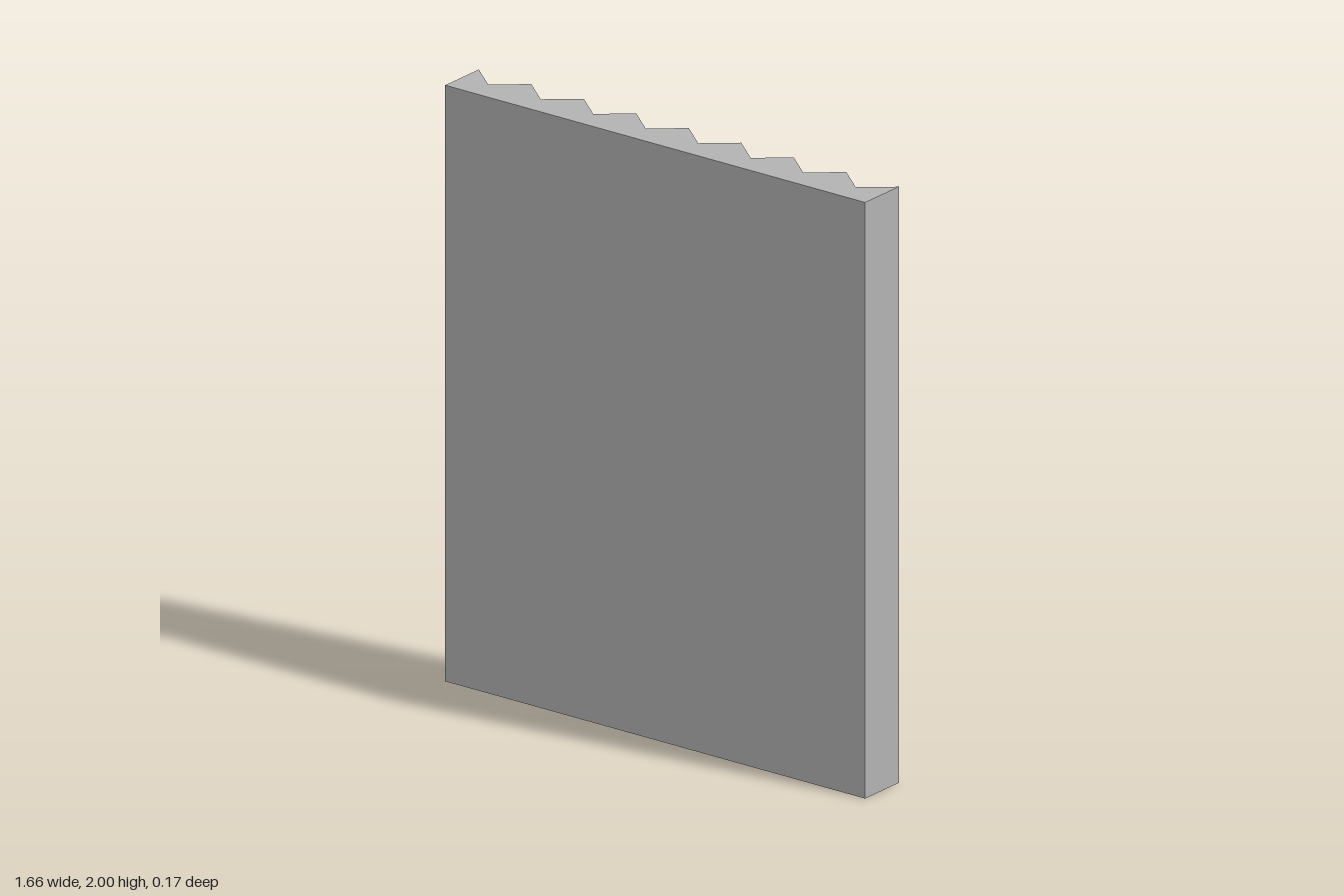
import * as THREE from 'three';

export function createModel() {
  const group = new THREE.Group();
  group.name = 'ridgedPanel';

  const grey = new THREE.MeshStandardMaterial({ color: 0xb2b2b2 });
  grey.name = 'plain grey';

  const halfWidth = 0.83, halfDepth = 0.086, height = 2, ridges = 8;
  const pitch = (2 * halfWidth) / ridges;

  // Plan outline: flat front, zigzag back (shape y becomes -z)
  const outline = new THREE.Shape();
  outline.moveTo(-halfWidth, -halfDepth);
  outline.lineTo(halfWidth, -halfDepth);
  for (let i = 0; i <= 2 * ridges; i++) {
    outline.lineTo(halfWidth - (i * pitch) / 2, i % 2 === 0 ? halfDepth : 0);
  }
  outline.closePath();

  // Extrude upwards from the floor
  const geometry = new THREE.ExtrudeGeometry(outline, { depth: height, bevelEnabled: false });
  geometry.rotateX(-Math.PI / 2);

  const panel = new THREE.Mesh(geometry, grey);
  panel.name = 'panel';
  group.add(panel);
  return group;
}
